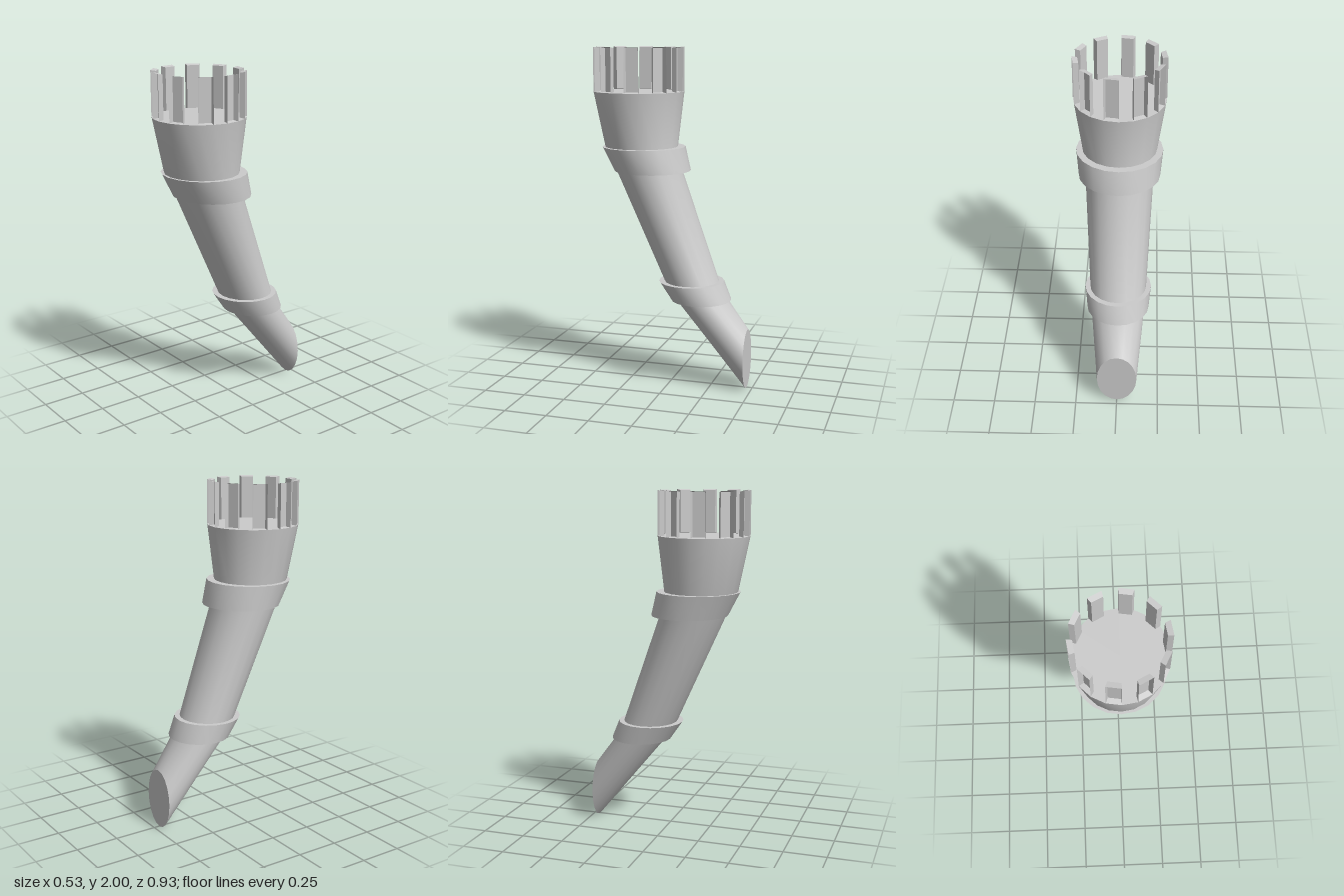
import * as THREE from 'three';
import { toCreasedNormals } from 'three/addons/utils/BufferGeometryUtils.js';

const SIDES = 20;
const STEP = (Math.PI * 2) / SIDES;

// Elliptical section: centre (0, y, z), half width rx, second half axis (vy, vz)
const section = (y, z, rx, vz, vy = 0) => ({ y, z, rx, vz, vy });

// Skin a list of sections, ordered from top to bottom
function loft(sections, closed = false) {
  const positions = [];
  const index = [];
  for (const s of sections) {
    for (let j = 0; j < SIDES; j++) {
      const c = Math.cos(j * STEP), n = Math.sin(j * STEP);
      positions.push(s.rx * c, s.y + s.vy * n, s.z + s.vz * n);
    }
  }
  const count = sections.length;
  for (let i = 0; i < (closed ? count : count - 1); i++) {
    for (let j = 0; j < SIDES; j++) {
      const k = (j + 1) % SIDES;
      const top = i * SIDES, low = ((i + 1) % count) * SIDES;
      index.push(top + j, top + k, low + j, top + k, low + k, low + j);
    }
  }
  const geometry = new THREE.BufferGeometry();
  geometry.setAttribute('position', new THREE.Float32BufferAttribute(positions, 3));
  geometry.setIndex(index);
  return toCreasedNormals(geometry, 0.6);
}

// Crown tooth: a shallow tray, open on its outer face
function toothGeometry(start) {
  const positions = [];
  for (const [radius, inset, bottom, top] of [[0.265, 0, 1.745, 2], [0.234, 0.01, 1.75, 1.995]]) {
    const a = start + inset, b = start + STEP - inset;
    for (const [angle, y] of [[a, bottom], [b, bottom], [b, top], [a, top]]) {
      positions.push(radius * Math.cos(angle), y, 0.2 + radius * Math.sin(angle));
    }
  }
  const index = [4, 5, 6, 4, 6, 7];
  for (let i = 0; i < 4; i++) {
    const k = (i + 1) % 4;
    index.push(i, k, 4 + k, i, 4 + k, 4 + i);
  }
  const indexed = new THREE.BufferGeometry();
  indexed.setAttribute('position', new THREE.Float32BufferAttribute(positions, 3));
  indexed.setIndex(index);
  const geometry = indexed.toNonIndexed();
  geometry.computeVertexNormals();
  return geometry;
}

export function createModel() {
  const model = new THREE.Group();
  const material = new THREE.MeshStandardMaterial({ color: 0xcccccc });
  const openMaterial = new THREE.MeshStandardMaterial({ color: 0xcccccc, side: THREE.DoubleSide });
  const add = (parent, name, geometry, mat = material) => {
    const mesh = new THREE.Mesh(geometry, mat);
    mesh.name = name;
    parent.add(mesh);
  };

  // Curved shaft with a flat platform on top and an upright cut at its foot
  add(model, 'shaft', loft([
    section(1.745, 0.2, 0, 0),
    section(1.745, 0.2, 0.265, 0.265),
    section(1.425, 0.185, 0.218, 0.213),
    section(1.285, 0.137, 0.2, 0.193),
    section(0.635, -0.125, 0.168, 0.16),
    section(0.525, -0.188, 0.16, 0.152),
    section(0.18, -0.465, 0.12, 0, -0.178),
    section(0.18, -0.465, 0, 0),
  ]));

  // Collars: closed rings of outer and inner edges
  add(model, 'upperCollar', loft([
    section(1.425, 0.17, 0.253, 0.243),
    section(1.285, 0.117, 0.238, 0.223),
    section(1.285, 0.137, 0.195, 0.188),
    section(1.425, 0.185, 0.21, 0.205),
  ], true));
  add(model, 'lowerCollar', loft([
    section(0.635, -0.123, 0.198, 0.193),
    section(0.525, -0.183, 0.185, 0.178),
    section(0.525, -0.188, 0.155, 0.147),
    section(0.635, -0.125, 0.163, 0.155),
  ], true));

  // Crown of ten teeth on every second side of the rim
  const crown = new THREE.Group();
  crown.name = 'crown';
  for (let i = 0; i < SIDES / 2; i++) {
    add(crown, 'crownTooth', toothGeometry(-Math.PI / 2 + i * 2 * STEP), openMaterial);
  }
  model.add(crown);
  return model;
}
